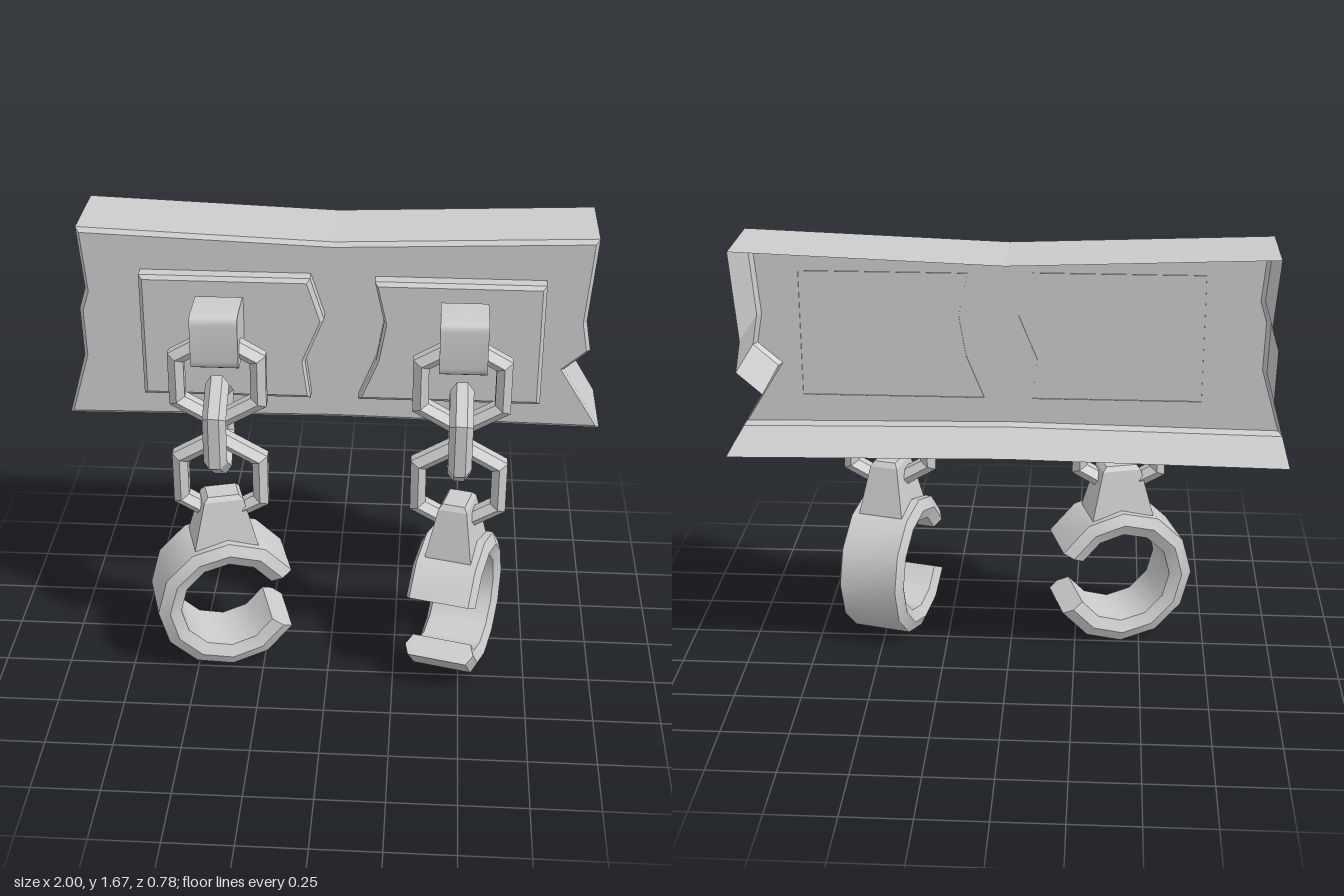
import * as THREE from 'three';
import { toCreasedNormals } from 'three/addons/utils/BufferGeometryUtils.js';

const V = (x, y) => new THREE.Vector2(x, y);
const material = new THREE.MeshStandardMaterial({ color: 0xcccccc, flatShading: true, side: THREE.DoubleSide });
const smooth = new THREE.MeshStandardMaterial({ color: 0xcccccc, side: THREE.DoubleSide });

function part(name, geometry, mat = material) {
  const mesh = new THREE.Mesh(geometry, mat);
  mesh.name = name;
  return mesh;
}

// Panel open at the back: side walls, a bevelled rim and a front face
function openPanel(name, outline, zBack, zFront, bevel) {
  const pts = outline.map(([x, y]) => V(x, y));
  const box = new THREE.Box2().setFromPoints(pts);
  const c = box.getCenter(V(0, 0));
  const size = box.getSize(V(0, 0));
  const inset = pts.map((p) => V(
    c.x + (p.x - c.x) * (1 - 2 * bevel / size.x),
    c.y + (p.y - c.y) * (1 - 2 * bevel / size.y)));
  const rings = [[pts, zBack], [pts, zFront - bevel], [inset, zFront]];
  const pos = [];
  for (let r = 0; r < 2; r++) {
    const [a, za] = rings[r];
    const [b, zb] = rings[r + 1];
    for (let i = 0; i < pts.length; i++) {
      const j = (i + 1) % pts.length;
      pos.push(a[i].x, a[i].y, za, a[j].x, a[j].y, za, b[j].x, b[j].y, zb);
      pos.push(a[i].x, a[i].y, za, b[j].x, b[j].y, zb, b[i].x, b[i].y, zb);
    }
  }
  const walls = new THREE.BufferGeometry();
  walls.setAttribute('position', new THREE.Float32BufferAttribute(pos, 3));
  walls.computeVertexNormals();
  const face = new THREE.ShapeGeometry(new THREE.Shape(inset));
  face.translate(0, 0, zFront);
  const group = new THREE.Group();
  group.name = name;
  group.add(part(name + 'Sides', walls), part(name + 'Face', face));
  return group;
}

// Closed six-point section for the links and cuffs, counterclockwise
function section(inner, mid, outer, edge, half) {
  return [V(outer, -edge), V(outer, edge), V(mid, half), V(inner, edge), V(inner, -edge), V(mid, -half)];
}

// Hexagonal chain link, point upwards, lying in the xy plane
function chainLink(width) {
  const profile = section(0.138, 0.17, 0.204, 0.02, 0.043);
  const g = new THREE.LatheGeometry([...profile, profile[0]], 6);
  g.rotateX(Math.PI / 2);
  g.scale(width, 1, 1);
  return part('chainLink', g);
}

// Open cuff with a tapered neck; the mouth faces local +x
function cuff() {
  const group = new THREE.Group();
  group.name = 'cuff';
  const profile = section(0.185, 0.23, 0.272, 0.112, 0.132);
  const gap = THREE.MathUtils.degToRad(28);
  const start = Math.PI / 2 + gap;
  const length = Math.PI * 2 - gap * 2;
  const ring = new THREE.LatheGeometry([...profile, profile[0]], 10, start, length);
  ring.rotateX(Math.PI / 2);
  group.add(part('cuffRing', toCreasedNormals(ring, 0.6), smooth));
  for (const phi of [start, start + length]) {
    const cap = new THREE.ShapeGeometry(new THREE.Shape(profile));
    cap.rotateY(phi - Math.PI / 2);
    cap.rotateX(Math.PI / 2);
    group.add(part('cuffEnd', cap));
  }
  // Four-sided neck with a chamfered top
  const d = Math.SQRT2;
  const neck = new THREE.LatheGeometry(
    [V(0.122 * d, 0.215), V(0.119 * d, 0.245), V(0.074 * d, 0.425), V(0.058 * d, 0.443), V(0, 0.443)], 4);
  neck.rotateY(Math.PI / 4);
  neck.scale(1, 1, 0.73);
  group.add(part('cuffNeck', neck));
  return group;
}

// Block with rounded edges that holds the top link
function bracket() {
  const h = 0.1025, r = 0.035;
  const s = new THREE.Shape();
  s.moveTo(-h + r, -h).lineTo(h - r, -h).quadraticCurveTo(h, -h, h, -h + r);
  s.lineTo(h, h - r).quadraticCurveTo(h, h, h - r, h);
  s.lineTo(-h + r, h).quadraticCurveTo(-h, h, -h, h - r);
  s.lineTo(-h, -h + r).quadraticCurveTo(-h, -h, -h + r, -h);
  const g = new THREE.ExtrudeGeometry(s, { depth: 0.17, bevelEnabled: false, curveSegments: 4 });
  g.translate(0, 0, -0.085);
  g.rotateY(Math.PI / 2);
  return part('bracket', toCreasedNormals(g, 0.6), smooth);
}

// Bracket, three alternating links and a cuff
function shackle(name, x, turn) {
  const group = new THREE.Group();
  group.name = name;
  const hold = bracket();
  hold.position.set(0, 1.355, 0.094);
  const top = chainLink(1);
  top.position.set(0, 1.185, 0.12);
  const middle = chainLink(0.83);
  middle.rotation.y = Math.PI / 2;
  middle.position.set(0, 1.0, 0.137);
  const bottom = chainLink(1);
  bottom.position.set(0, 0.775, 0.12);
  const band = cuff();
  band.position.set(0, 0.271, 0.12);
  band.rotation.y = THREE.MathUtils.degToRad(turn);
  group.add(hold, top, middle, bottom, band);
  group.position.x = x;
  return group;
}

export function createModel() {
  const model = new THREE.Group();
  model.name = 'wallShackles';

  // Broken-ended board, hollow at the back
  model.add(openPanel('board', [
    [-1, 0.915], [0, 0.93], [0.995, 0.915], [0.85, 1.155], [0.94, 1.235], [0.92, 1.35], [0.945, 1.67],
    [0, 1.635], [-0.93, 1.67], [-0.91, 1.43], [-0.935, 1.35], [-0.93, 1.16],
  ], -0.4, -0.075, 0.016));

  // Mounting plates with jagged inner ends
  model.add(openPanel('rightPlate', [
    [-0.7, 1.04], [-0.08, 1.04], [-0.1, 1.19], [-0.03, 1.36], [-0.08, 1.518], [-0.7, 1.518],
  ], -0.08, -0.013, 0.014));
  model.add(openPanel('leftPlate', [
    [0.095, 1.04], [0.765, 1.04], [0.765, 1.513], [0.152, 1.513], [0.187, 1.355], [0.16, 1.2],
  ], -0.08, -0.013, 0.014));

  model.add(shackle('rightShackle', -0.405, 15.5));
  model.add(shackle('leftShackle', 0.475, -104.5));
  return model;
}
